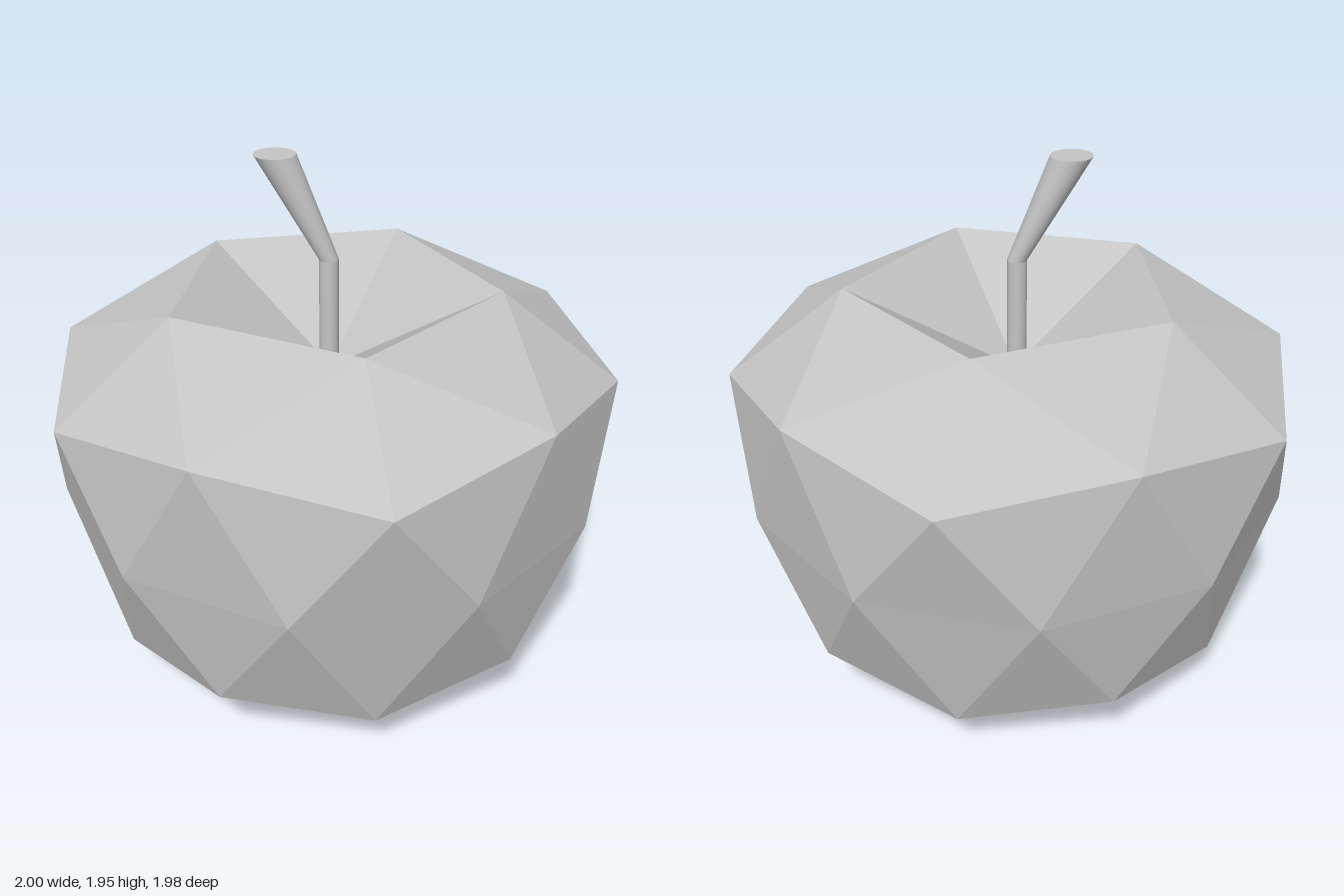
import * as THREE from 'three';
import { toCreasedNormals } from 'three/addons/utils/BufferGeometryUtils.js';

const CENTRE = -0.03;

// Point at a given angle (degrees), radius and height around the fruit's axis
const polar = (deg, r, y) => {
  const a = THREE.MathUtils.degToRad(deg);
  return [CENTRE + r * Math.cos(a), y, -r * Math.sin(a)];
};

// Faceted fruit: rings of 5, 10, 10, 10 and 5 points, dimpled at both poles
function fruitGeometry() {
  const topPole = polar(0, 0, 1.17);
  const bottomPole = polar(0, 0, 0.29);
  const rim = k => polar(72 * k, 0.605, 1.495);
  const upper = j => (j % 2 ? polar(36 * j, 0.973, 1.265) : polar(36 * j, 1.03, 1.175));
  const middle = j => polar(18 + 36 * j, 0.99, 0.755);
  const lower = j => (j % 2 ? polar(36 * j, 0.88, 0.305) : polar(36 * j, 0.84, 0.225));
  const base = k => polar(36 + 72 * k, 0.52, 0);

  const points = [];
  const tri = (a, b, c) => points.push(...a, ...b, ...c);

  for (let k = 0; k < 5; k++) {
    const j = 2 * k;
    // top dimple and shoulder
    tri(topPole, rim(k), rim(k + 1));
    tri(rim(k), upper(j - 1), upper(j));
    tri(rim(k), upper(j), upper(j + 1));
    tri(rim(k), upper(j + 1), rim(k + 1));
    // underside and bottom dimple
    tri(lower(j), base(k), lower(j + 1));
    tri(lower(j + 1), base(k), lower(j + 2));
    tri(lower(j + 2), base(k), base(k + 1));
    tri(bottomPole, base(k + 1), base(k));
  }
  // side bands
  for (let j = 0; j < 10; j++) {
    tri(upper(j), middle(j), upper(j + 1));
    tri(upper(j + 1), middle(j), middle(j + 1));
    tri(middle(j), lower(j), lower(j + 1));
    tri(middle(j), lower(j + 1), middle(j + 1));
  }

  const geo = new THREE.BufferGeometry();
  geo.setAttribute('position', new THREE.Float32BufferAttribute(points, 3));
  geo.computeVertexNormals();
  return geo;
}

// Cylinder sheared sideways so that its ends stay level
function leaningCylinder(x0, y0, r0, x1, y1, r1) {
  const h = y1 - y0;
  const geo = new THREE.CylinderGeometry(r1, r0, h, 24);
  const pos = geo.attributes.position;
  for (let i = 0; i < pos.count; i++) {
    const t = pos.getY(i) / h + 0.5;
    pos.setXYZ(i, pos.getX(i) + x0 + (x1 - x0) * t, y0 + h * t, pos.getZ(i));
  }
  return toCreasedNormals(geo, 0.6);
}

export function createModel() {
  const grey = new THREE.MeshStandardMaterial({ color: 0xc4c4c4 });
  grey.name = 'plain grey';

  const model = new THREE.Group();
  model.name = 'apple';
  const add = (name, geo, parent) => {
    const mesh = new THREE.Mesh(geo, grey);
    mesh.name = name;
    parent.add(mesh);
  };

  add('fruit', fruitGeometry(), model);

  // Stem: upright foot, then a widening upper part leaning to the side
  const stem = new THREE.Group();
  stem.name = 'stem';
  add('stemFoot', leaningCylinder(-0.035, 1.15, 0.035, -0.035, 1.585, 0.035), stem);
  add('stemTop', leaningCylinder(-0.035, 1.585, 0.035, -0.217, 1.95, 0.073), stem);
  model.add(stem);

  return model;
}
